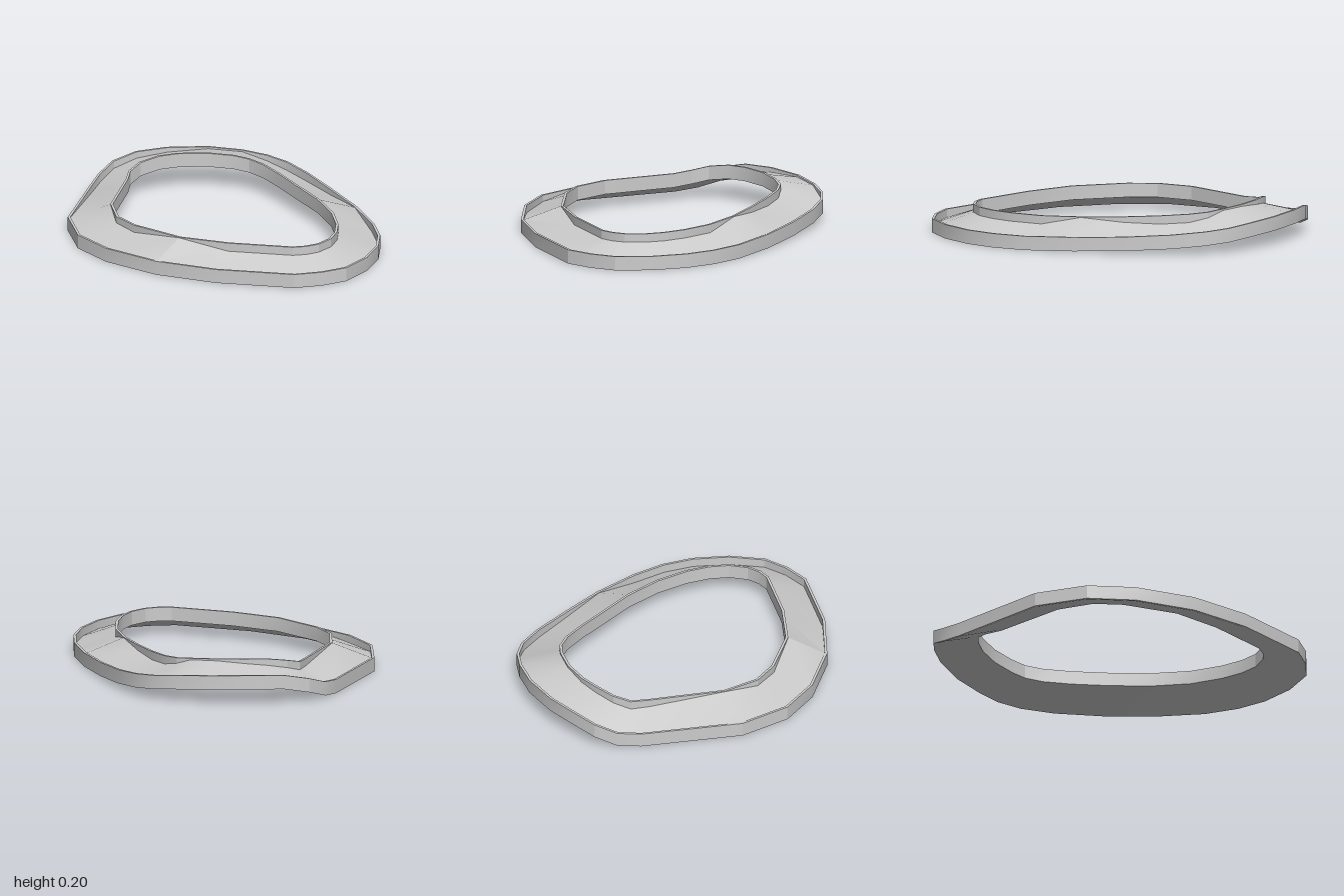
import * as THREE from 'three';
import { toCreasedNormals } from 'three/addons/utils/BufferGeometryUtils.js';

// Stations round the ring, clockwise from the back:
// outer x, outer z, inner x, inner z, lift, depth of the deck below the wall tops
const STATIONS = [
  [0.08, -1.0, 0.07, -0.76, 0.03, 0.04],
  [0.22, -0.97, 0.18, -0.735, 0.047, 0.035],
  [0.38, -0.9, 0.28, -0.69, 0.05, 0.025],
  [0.56, -0.77, 0.4, -0.6, 0.048, 0.01],
  [0.68, -0.63, 0.49, -0.49, 0.042, 0.008],
  [0.75, -0.51, 0.53, -0.41, 0.034, 0.03],
  [0.78, -0.38, 0.54, -0.31, 0.027, 0.045],
  [0.77, -0.2, 0.52, -0.16, 0.018, 0.045],
  [0.72, 0.05, 0.48, 0.03, 0.009, 0.03],
  [0.65, 0.32, 0.43, 0.25, 0.004, 0.003],
  [0.55, 0.57, 0.35, 0.45, 0, 0.045],
  [0.45, 0.73, 0.25, 0.6, 0, 0.045],
  [0.33, 0.85, 0.16, 0.69, 0, 0.045],
  [0.16, 0.95, 0.07, 0.745, 0, 0.045],
  [-0.03, 1.0, -0.03, 0.765, 0, 0.045],
  [-0.17, 0.97, -0.1, 0.75, 0, 0.045],
  [-0.31, 0.9, -0.16, 0.715, 0, 0.045],
  [-0.57, 0.56, -0.37, 0.44, 0, 0.045],
  [-0.72, 0.25, -0.5, 0.2, 0, 0.003],
  [-0.78, -0.08, -0.55, -0.1, 0, 0.04],
  [-0.75, -0.34, -0.53, -0.26, 0, 0.035],
  [-0.6, -0.59, -0.42, -0.43, 0, 0.003],
  [-0.15, -0.91, -0.1, -0.67, 0, 0.04],
  [-0.04, -0.975, -0.02, -0.74, 0.008, 0.045],
];
const WALL = 0.075;
const LIP = 0.014;

// Heights and a point at distance-fraction k across the ring (0 outer, 1 inner)
function station([ox, oz, ix, iz, lift, depth]) {
  const lip = LIP / Math.hypot(ix - ox, iz - oz);
  const outer = 0.075 + lift * 1.7;
  const inner = 0.15 + lift;
  const at = (k, y) => [ox + (ix - ox) * k, y, oz + (iz - oz) * k];
  return { lip, outer, inner, depth, at };
}

// Closed ring skinned through one four-sided section per station
function ring(name, section) {
  const loops = STATIONS.map((s) => section(station(s)));
  const positions = [];
  loops.forEach((loop, i) => {
    const next = loops[(i + 1) % loops.length];
    loop.forEach((a, j) => {
      const k = (j + 1) % loop.length;
      positions.push(...a, ...loop[k], ...next[j], ...loop[k], ...next[k], ...next[j]);
    });
  });
  const geometry = new THREE.BufferGeometry();
  geometry.setAttribute('position', new THREE.Float32BufferAttribute(positions, 3));
  const material = new THREE.MeshStandardMaterial({ color: 0xcccccc });
  const mesh = new THREE.Mesh(toCreasedNormals(geometry, 0.35), material);
  mesh.name = name;
  return mesh;
}

export function createModel() {
  const group = new THREE.Group();
  group.name = 'bankedRing';

  // Thin kerb walls along both edges
  group.add(ring('outerWall', ({ lip, outer, at }) => [
    at(0, outer - WALL), at(0, outer), at(lip, outer), at(lip, outer - WALL),
  ]));
  group.add(ring('innerWall', ({ lip, inner, at }) => [
    at(1 - lip, inner - WALL), at(1 - lip, inner), at(1, inner), at(1, inner - WALL),
  ]));

  // Banked deck between the walls, rising flush with them at the ridges
  group.add(ring('bankedDeck', ({ lip, outer, inner, depth, at }) => [
    at(lip, outer - WALL), at(lip, outer - depth),
    at(1 - lip, inner - depth), at(1 - lip, inner - WALL),
  ]));
  return group;
}
